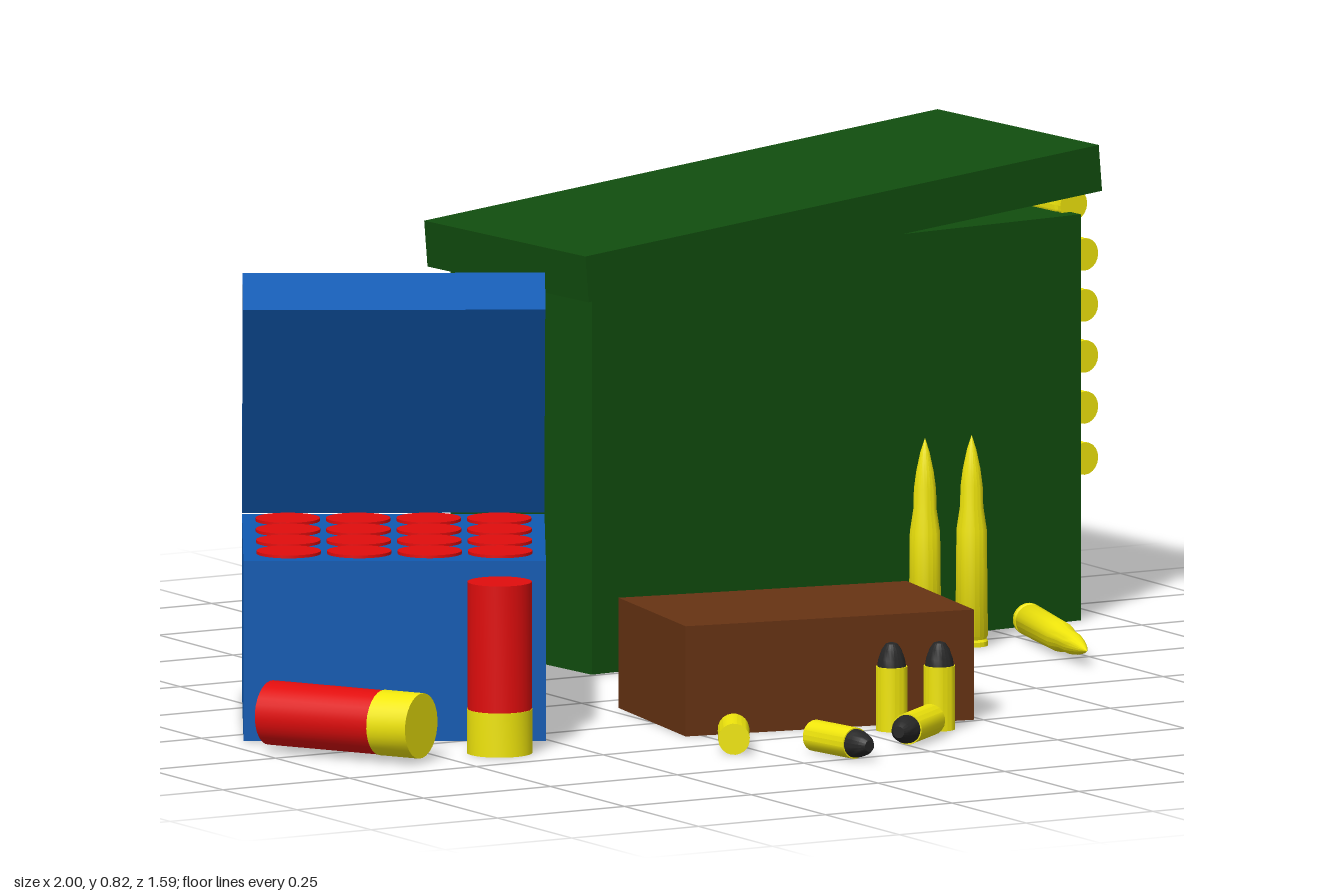
import * as THREE from 'three';
import { toCreasedNormals } from 'three/addons/utils/BufferGeometryUtils.js';

const mat = (color) => new THREE.MeshStandardMaterial({ color });
const green = mat(0x114d0e), blue = mat(0x105ab2), brown = mat(0x673313);
const red = mat(0xe00d0d), brass = mat(0xf0e60c), lead = mat(0x262626);
const UP = new THREE.Vector3(0, 1, 0);
const deg = THREE.MathUtils.degToRad;

function turned(profile, sides) {
  const pts = profile.map(([r, y]) => new THREE.Vector2(r, y));
  return toCreasedNormals(new THREE.LatheGeometry(pts, sides), 0.6);
}

// Shared round shapes, base at y = 0 and nose pointing up
const rifleGeo = turned([[0, 0], [0.028, 0], [0.028, 0.008], [0.025, 0.012], [0.028, 0.018],
  [0.026, 0.2], [0.02, 0.24], [0.019, 0.275], [0.015, 0.305], [0.008, 0.338], [0, 0.363]], 20);
const caseGeo = turned([[0, 0], [0.027, 0], [0.027, 0.11], [0, 0.11]], 20);
const slugGeo = turned([[0.025, 0.108], [0.023, 0.122], [0.017, 0.139], [0.01, 0.149], [0, 0.152]], 20);
const shellBaseGeo = turned([[0, 0], [0.056, 0], [0.056, 0.076], [0, 0.076]], 28);
const shellTubeGeo = turned([[0.055, 0.076], [0.055, 0.295], [0, 0.295]], 28);

function add(parent, name, geometry, material, x = 0, y = 0, z = 0) {
  const mesh = new THREE.Mesh(geometry, material);
  mesh.name = name;
  mesh.position.set(x, y, z);
  parent.add(mesh);
  return mesh;
}

const box = (parent, name, material, size, pos) =>
  add(parent, name, new THREE.BoxGeometry(...size), material, ...pos);

// One round made of [name, geometry, material] pieces, standing or lying along a direction
function round(parent, name, pieces, base, dir = [0, 1, 0]) {
  const g = new THREE.Group();
  g.name = name;
  for (const [n, geo, m] of pieces) add(g, n, geo, m);
  g.position.set(...base);
  g.quaternion.setFromUnitVectors(UP, new THREE.Vector3(...dir).normalize());
  parent.add(g);
}

const RIFLE = [['cartridge', rifleGeo, brass]];
const PISTOL = [['casing', caseGeo, brass], ['bullet', slugGeo, lead]];
const SHELL = [['shellBase', shellBaseGeo, brass], ['shellTube', shellTubeGeo, red]];

function place(parent, name, x, z, angle) {
  const g = new THREE.Group();
  g.name = name;
  g.position.set(x, 0, z);
  g.rotation.y = deg(angle);
  parent.add(g);
  return g;
}

export function createModel() {
  const model = new THREE.Group();
  model.name = 'ammunitionSet';

  // Green crate with a tilted lid and a row of cartridges on its end
  const crate = place(model, 'greenCrate', 0.41, -0.51, 5);
  box(crate, 'crateBody', green, [1.02, 0.7, 0.417], [0, 0.35, 0]);
  box(crate, 'crateLid', green, [1.075, 0.08, 0.475], [-0.005, 0.735, 0]).rotation.z = deg(5);
  for (let i = 0; i < 6; i++) {
    const x = i === 5 ? 0.517 : 0.54;
    round(crate, 'sideCartridge', RIFLE, [x, 0.272 + i * 0.088, 0.178], [0, 0, -1]);
  }

  // Blue carton packed with shells
  const carton = place(model, 'blueCarton', -0.603, -0.03, -30);
  box(carton, 'cartonBody', blue, [0.515, 0.31, 0.51], [0, 0.155, 0]);
  for (let i = 0; i < 4; i++) {
    for (let j = 0; j < 4; j++) {
      round(carton, 'packedShell', SHELL, [-0.18 + i * 0.12, 0.02, 0.17 - j * 0.118]);
    }
  }

  // Carton flap hinged on the back edge, with a front lip
  const flap = new THREE.Group();
  flap.name = 'cartonFlap';
  flap.position.set(0, 0.312, -0.255);
  flap.rotation.x = deg(-60);
  carton.add(flap);
  box(flap, 'flapPanel', blue, [0.515, 0.02, 0.51], [0, 0.01, 0.255]);
  box(flap, 'flapLip', blue, [0.515, 0.08, 0.02], [0, -0.04, 0.5]);

  // Brown carton
  const brownCarton = place(model, 'brownCarton', 0.0075, 0.2825, -10);
  box(brownCarton, 'brownCartonBody', brown, [0.523, 0.19, 0.33], [0, 0.095, 0]);

  // Loose shells
  round(model, 'standingShell', SHELL, [-0.64, 0, 0.39]);
  round(model, 'lyingShell', SHELL, [-0.812, 0.064, 0.42], [-0.5, 0, -0.866]);

  // Loose rifle cartridges
  for (const [x, z] of [[0.555, -0.22], [0.64, -0.208]]) {
    round(model, 'standingCartridge', RIFLE, [x, 0, z]);
  }
  for (const [x, z, tx, tz] of [[0.438, -0.197, 0.105, -0.043], [0.54, -0.152, 0.358, 0.165],
    [0.778, -0.252, 0.688, 0.1]]) {
    round(model, 'lyingCartridge', RIFLE, [x, 0.028, z], [tx - x, 0, tz - z]);
  }

  // Loose pistol rounds
  for (const [x, z] of [[0.06, 0.515], [0.135, 0.548]]) {
    round(model, 'standingPistolRound', PISTOL, [x, 0, z]);
  }
  for (const [x, z, tx, tz] of [[-0.308, 0.613, -0.233, 0.482], [-0.167, 0.645, -0.145, 0.795],
    [0.088, 0.598, -0.028, 0.69]]) {
    round(model, 'lyingPistolRound', PISTOL, [x, 0.027, z], [tx - x, 0, tz - z]);
  }
  return model;
}
